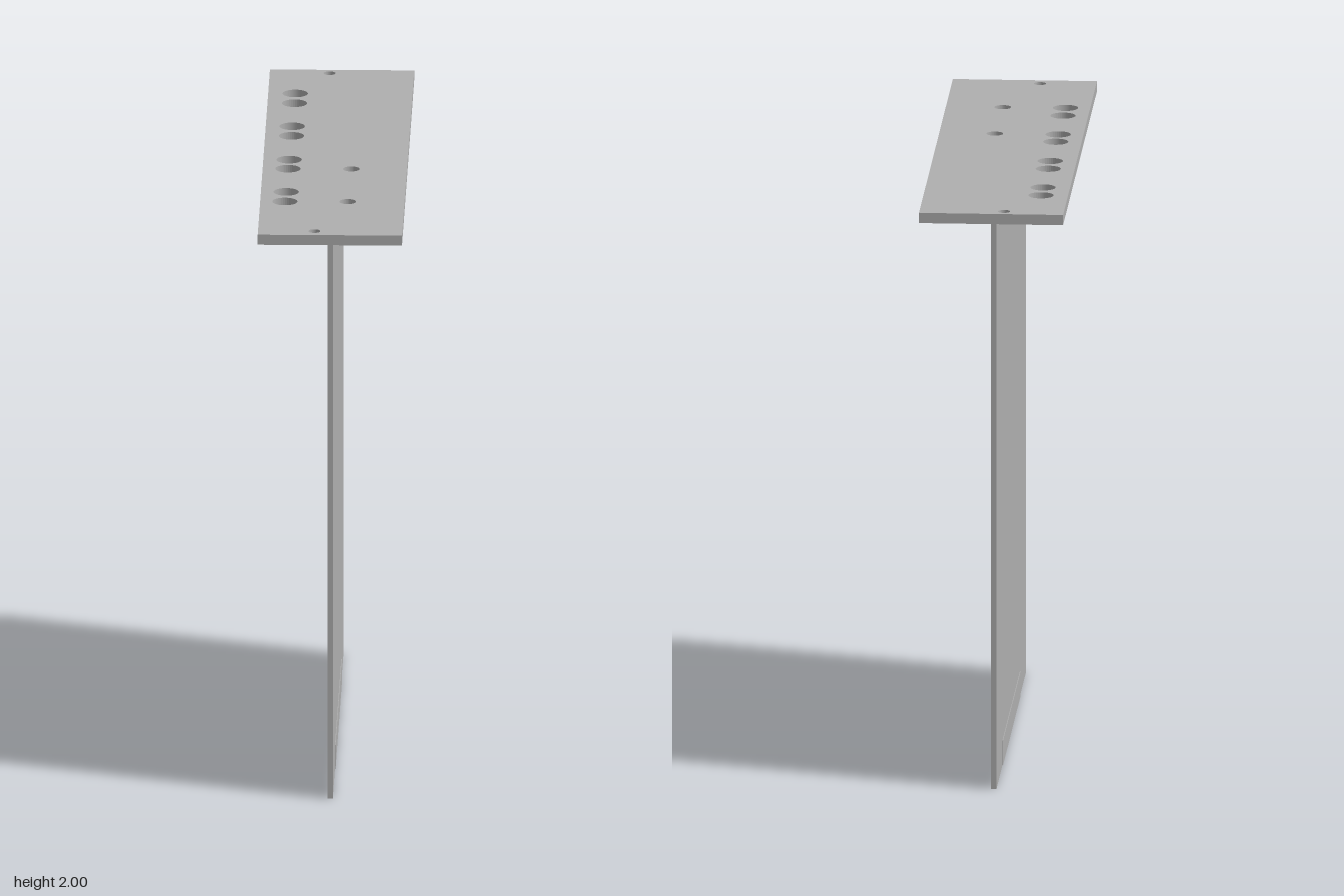
import * as THREE from 'three';

export function createModel() {
  const model = new THREE.Group();
  const grey = new THREE.MeshStandardMaterial({ color: 0xb0b0b0 });
  grey.name = 'plain grey';

  // Box given by its lower and upper limits on each axis
  function box(name, [x0, x1], [y0, y1], [z0, z1]) {
    const mesh = new THREE.Mesh(new THREE.BoxGeometry(x1 - x0, y1 - y0, z1 - z0), grey);
    mesh.position.set((x0 + x1) / 2, (y0 + y1) / 2, (z0 + z1) / 2);
    mesh.name = name;
    model.add(mesh);
  }

  // Top plate with drilled holes; shape coordinates are x and z
  const w = 0.24, l = 0.913, plateThickness = 0.035;
  const outline = new THREE.Shape([
    new THREE.Vector2(-w, -l), new THREE.Vector2(w, -l),
    new THREE.Vector2(w, l), new THREE.Vector2(-w, l),
  ]);
  const holeSets = [
    // paired cable holes
    { r: 0.042, at: [[-0.15, -0.65], [-0.15, -0.542], [-0.152, -0.287], [-0.152, -0.181],
      [-0.154, 0.082], [-0.156, 0.182], [-0.156, 0.438], [-0.158, 0.544]] },
    // fixing holes above the flange
    { r: 0.028, at: [[0.055, 0.18], [0.051, 0.541]] },
    // end screw holes
    { r: 0.02, at: [[-0.041, -0.876], [-0.053, 0.869]] },
  ];
  for (const { r, at } of holeSets) {
    for (const [x, z] of at) {
      outline.holes.push(new THREE.Path().absarc(x, z, r, 0, Math.PI * 2, true));
    }
  }
  const plateGeometry = new THREE.ExtrudeGeometry(outline, {
    depth: plateThickness, bevelEnabled: false, curveSegments: 20,
  });
  plateGeometry.rotateX(Math.PI / 2);
  const plate = new THREE.Mesh(plateGeometry, grey);
  plate.position.y = 2;
  plate.name = 'topPlate';
  model.add(plate);

  // Hanging sheet with a flange folded under the plate
  const underside = 2 - plateThickness;
  box('hangingSheet', [-0.011, 0.007], [0, underside], [-0.8, 0.8]);
  box('flange', [0.007, 0.15], [underside - 0.017, underside], [-0.8, 0.8]);

  // Slightly raised strip on both faces of the sheet's lower edge
  box('lowerStrip', [-0.013, 0.009], [0, 0.085], [-0.475, 0.475]);

  return model;
}
